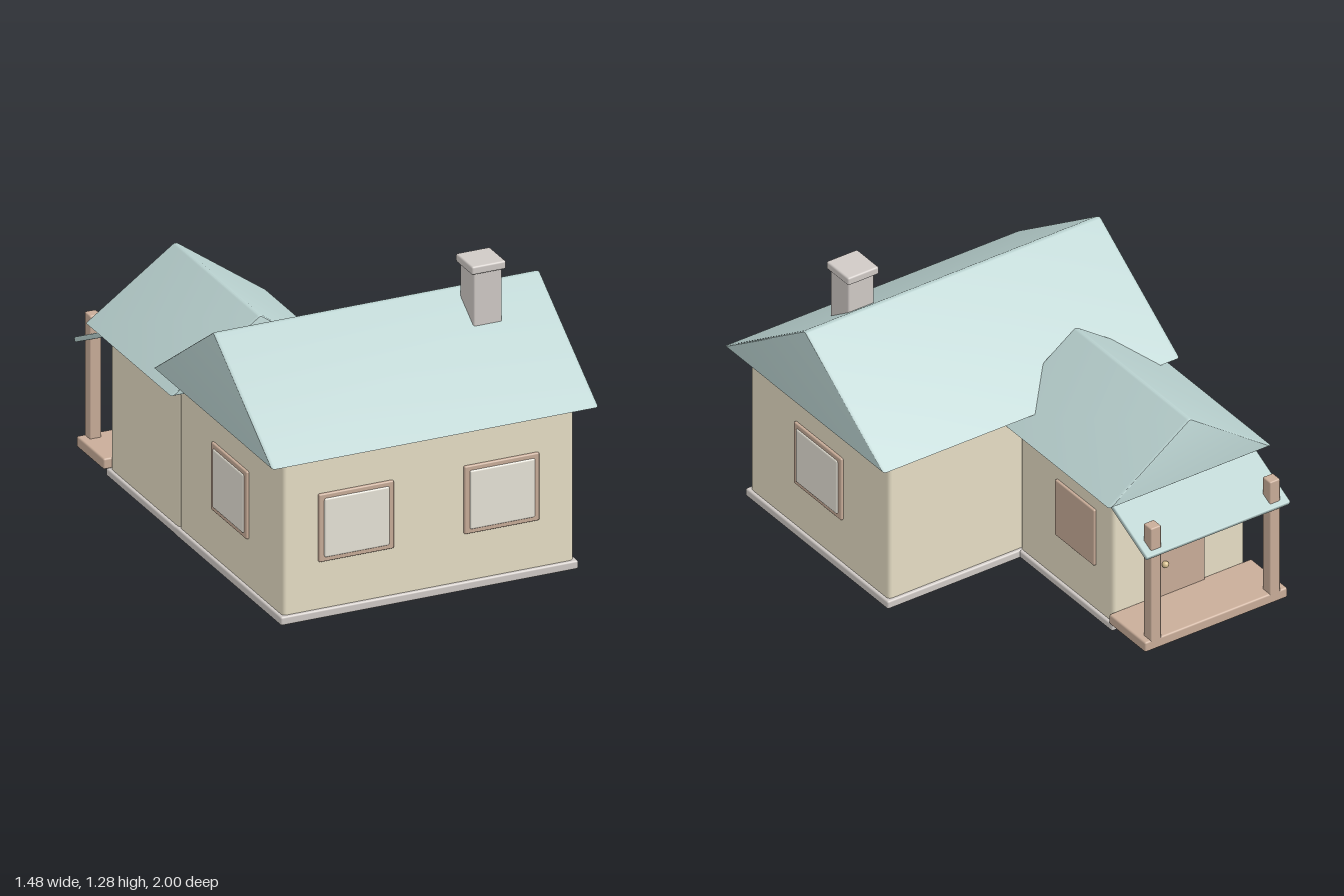
import * as THREE from 'three';
import { RoundedBoxGeometry } from 'three/addons/geometries/RoundedBoxGeometry.js';
import { toCreasedNormals } from 'three/addons/utils/BufferGeometryUtils.js';

const paint = (color) => new THREE.MeshStandardMaterial({ color });
const WALL = paint(0xe8dfc6), ROOF = paint(0xb8d0ce), WOOD = paint(0xc9ad99);
const GLASS = paint(0xe8e4d8), STONE = paint(0xd0cac6), BRASS = paint(0xd8c090);

export function createModel() {
  const house = new THREE.Group();
  house.name = 'house';

  // Softened box given by its min and max corners
  function box(name, mat, [x0, y0, z0], [x1, y1, z1], radius = 0.006, parent = house) {
    const w = x1 - x0, h = y1 - y0, d = z1 - z0;
    const r = Math.min(radius, Math.min(w, h, d) * 0.45);
    const mesh = new THREE.Mesh(new RoundedBoxGeometry(w, h, d, 2, r), mat);
    mesh.position.set((x0 + x1) / 2, (y0 + y1) / 2, (z0 + z1) / 2);
    mesh.name = name;
    parent.add(mesh);
    return mesh;
  }

  // Solid gable roof, ridge along z, with softened edges
  function gable(name, width, height, length) {
    const bevel = 0.008, end = 0.014, tip = 0.012;
    const slope = height / (width / 2);
    const shape = new THREE.Shape();
    shape.moveTo(-width / 2, 0);
    shape.lineTo(width / 2, 0);
    shape.lineTo(tip, height - tip * slope);
    shape.quadraticCurveTo(0, height, -tip, height - tip * slope);
    shape.closePath();
    const geo = new THREE.ExtrudeGeometry(shape, {
      depth: length - 2 * end, bevelSize: bevel, bevelOffset: -bevel,
      bevelThickness: end, bevelSegments: 3, curveSegments: 4,
    });
    geo.translate(0, 0, end - length / 2);
    const mesh = new THREE.Mesh(toCreasedNormals(geo, 0.6), ROOF);
    mesh.name = name;
    house.add(mesh);
    return mesh;
  }

  // Framed window facing +z, then turned and moved into place
  function framedWindow(name, x, z, turn) {
    const g = new THREE.Group();
    g.name = name;
    box('windowFrame', WOOD, [-0.17, -0.152, -0.02], [0.17, 0.152, 0.012], 0.006, g);
    box('windowPane', GLASS, [-0.148, -0.132, -0.02], [0.148, 0.132, 0.018], 0.008, g);
    g.position.set(x, 0.402, z);
    g.rotation.y = turn;
    house.add(g);
  }

  // Main block
  box('mainBase', STONE, [-0.675, 0, -0.075], [0.675, 0.038, 0.945], 0.008);
  box('mainWalls', WALL, [-0.66, 0.01, -0.06], [0.66, 0.738, 0.93], 0.018);
  const mainRoof = gable('mainRoof', 1.14, 0.39, 1.48);
  mainRoof.rotation.y = Math.PI / 2;
  mainRoof.position.set(0, 0.735, 0.43);

  // Back wing
  box('wingBase', STONE, [-0.675, 0.002, -0.735], [0.015, 0.036, -0.05], 0.008);
  box('wingWalls', WALL, [-0.66, 0.01, -0.72], [0, 0.672, -0.055], 0.018);
  const wingRoof = gable('wingRoof', 0.81, 0.29, 0.825);
  wingRoof.position.set(-0.33, 0.67, -0.39);

  // Windows
  for (const s of [-1, 1]) {
    framedWindow('frontWindow', s * 0.33, 0.93, 0);
    framedWindow('sideWindow', s * 0.66, 0.435, s * Math.PI / 2);
  }
  box('wingShutter', WOOD, [-0.02, 0.25, -0.6], [0.012, 0.525, -0.32]);

  // Chimney
  box('chimney', STONE, [0.362, 0.95, 0.47], [0.492, 1.26, 0.6], 0.008);
  box('chimneyCap', STONE, [0.35, 1.243, 0.452], [0.505, 1.28, 0.61], 0.008);

  // Door and knob
  box('door', WOOD, [-0.45, 0.08, -0.737], [-0.21, 0.422, -0.7]);
  const knob = new THREE.Mesh(new THREE.SphereGeometry(0.015, 16, 12), BRASS);
  knob.name = 'doorKnob';
  knob.position.set(-0.245, 0.24, -0.745);
  house.add(knob);

  // Porch
  box('porchFloor', WOOD, [-0.692, 0.035, -0.98], [0.02, 0.083, -0.72], 0.008);
  for (const x of [-0.63, -0.035])
    box('porchPost', WOOD, [x - 0.026, 0.07, -0.98], [x + 0.026, 0.635, -0.926]);
  const porchRoof = box('porchRoof', ROOF, [-0.695, 0.567, -1.012], [0.025, 0.589, -0.692], 0.006);
  porchRoof.rotation.x = -0.45;

  return house;
}
